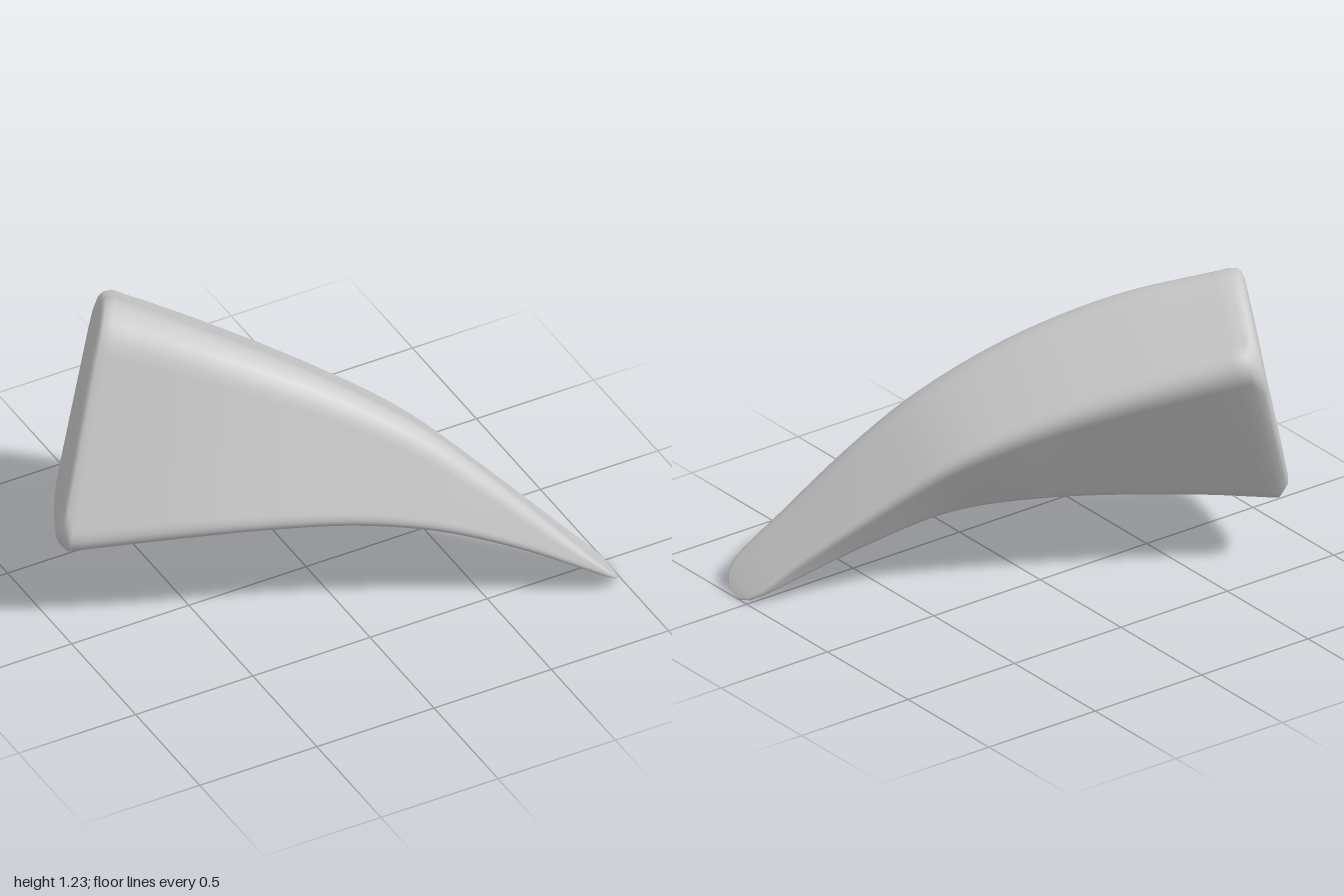
import * as THREE from 'three';

const V = (a) => new THREE.Vector3(...a);
const curve = (pts) => new THREE.CatmullRomCurve3(pts.map(V), false, 'centripetal');

// The four long edges of the claw, each from the wide base to the thin tip,
// with the corner radius at the base and how far the corner is pushed out
const edges = [
  { // outer front, broadly rounded
    radius: 0.19, push: 0.14,
    path: curve([[-0.67, 1.225, -0.28], [-0.34, 1.115, -0.025], [0, 0.955, 0.19], [0.3, 0.755, 0.36],
      [0.5, 0.565, 0.475], [0.74, 0.3, 0.6], [0.94, 0.075, 0.68], [0.985, 0.022, 0.635]]),
  },
  { // outer back
    radius: 0.09, push: 0.05,
    path: curve([[-0.47, 1.01, -0.675], [-0.23, 0.92, -0.495], [0.13, 0.76, -0.21], [0.4, 0.6, 0],
      [0.64, 0.38, 0.2], [0.87, 0.15, 0.395], [0.985, 0.03, 0.49], [1, 0.004, 0.55]]),
  },
  { // inner back
    radius: 0.08, push: 0.06,
    path: curve([[-0.79, 0.275, -0.44], [-0.5, 0.308, -0.27], [-0.02, 0.343, -0.03], [0.3, 0.31, 0.15],
      [0.6, 0.195, 0.3], [0.83, 0.085, 0.41], [0.98, 0.015, 0.49], [1, 0, 0.545]]),
  },
  { // inner front
    radius: 0.09, push: 0.05,
    path: curve([[-1, 0.42, -0.02], [-0.55, 0.475, 0.205], [-0.3, 0.48, 0.305], [0, 0.455, 0.405],
      [0.3, 0.388, 0.51], [0.6, 0.255, 0.6], [0.94, 0.055, 0.683], [0.983, 0.018, 0.635]]),
  },
];

const STATIONS = 40, CORNER_STEPS = 8;

// Four-cornered section with rounded corners
function roundedSection(corners, radii) {
  return corners.flatMap((c, k) => {
    const toward = (other) => {
      const dir = other.clone().sub(c), len = dir.length() || 1e-6;
      return c.clone().addScaledVector(dir, Math.min(radii[k], 0.42 * len) / len);
    };
    return new THREE.QuadraticBezierCurve3(
      toward(corners[(k + 3) % 4]), c, toward(corners[(k + 1) % 4])).getPoints(CORNER_STEPS);
  });
}

const centreOf = (pts) =>
  pts.reduce((s, p) => s.add(p), new THREE.Vector3()).divideScalar(pts.length);

const scaled = (pts, s, offset = new THREE.Vector3()) => {
  const c = centreOf(pts);
  return pts.map((p) => p.clone().sub(c).multiplyScalar(s).add(c).add(offset));
};

// Corners of the section at t, pushed out to make up for the rounding
function cornersAt(t) {
  const pts = edges.map((e) => e.path.getPointAt(t));
  const c = centreOf(pts);
  return pts.map((p, k) => p.clone().sub(c).multiplyScalar(1 + edges[k].push * (1 - 0.6 * t)).add(c));
}

// Closed skin through a list of equal rings
function loft(rings) {
  const n = rings[0].length, index = [];
  for (let i = 0; i < rings.length - 1; i++) {
    for (let j = 0; j < n; j++) {
      const a = i * n + j, b = i * n + (j + 1) % n;
      index.push(a, a + n, b, b, a + n, b + n);
    }
  }
  const geo = new THREE.BufferGeometry().setFromPoints(rings.flat());
  geo.setIndex(index);
  geo.computeVertexNormals();
  return geo;
}

export function createModel() {
  const group = new THREE.Group();
  group.name = 'claw';

  // Tapering body
  const body = [];
  for (let i = 0; i <= STATIONS; i++) {
    const t = i / STATIONS;
    body.push(roundedSection(cornersAt(t), edges.map((e) => e.radius * (1 - t) + 0.015)));
  }

  // Domed base whose rim bows out between the corners
  const out = new THREE.Vector3(-0.84, 0.18, -0.52);
  const capOutline = roundedSection(cornersAt(0), [0.2, 0.17, 0.17, 0.17]);
  const cap = [[0, 0.055], [0.5, 0.055], [0.88, 0.052], [0.95, 0.045], [0.985, 0.032]]
    .map(([s, d]) => scaled(capOutline, s, out.clone().multiplyScalar(d)));

  // Closed tip edge
  const tip = scaled(body[STATIONS], 0);

  const mesh = new THREE.Mesh(
    loft([...cap, ...body, tip]),
    new THREE.MeshStandardMaterial({ color: 0xcccccc }));
  mesh.name = 'clawBody';
  group.add(mesh);
  return group;
}
